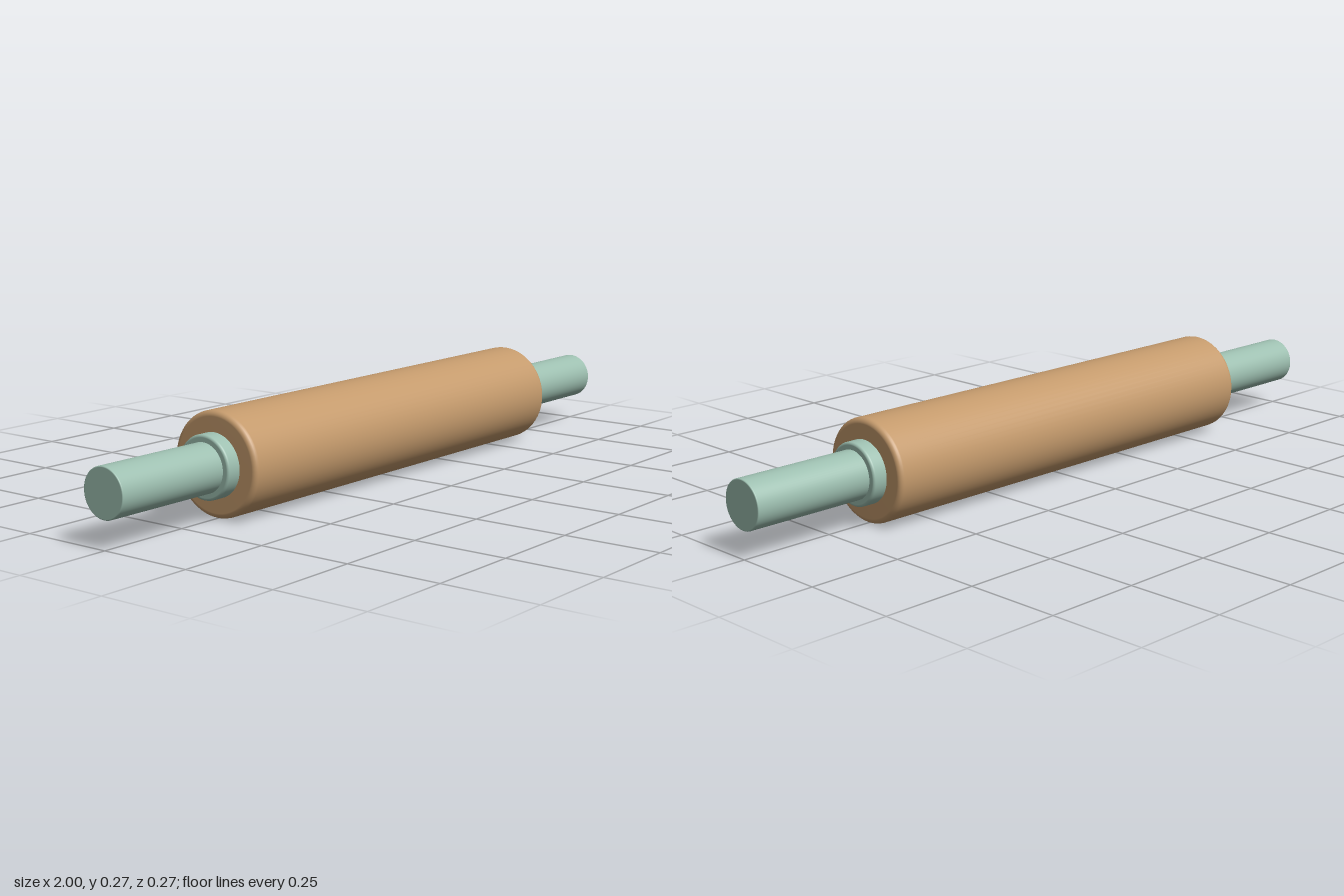
import * as THREE from 'three';

const AXIS_Y = 0.133;

// Closed rod along x from x0 to x1, with rounded rims
function rod(name, radius, x0, x1, bevel, material) {
  const points = [new THREE.Vector2(0, x0)];
  const steps = 6;
  for (const end of [0, 1]) {
    const centre = end ? x1 - bevel : x0 + bevel;
    for (let i = 0; i <= steps; i++) {
      const a = (i / steps + end - 1) * Math.PI / 2;
      points.push(new THREE.Vector2(radius - bevel + bevel * Math.cos(a), centre + bevel * Math.sin(a)));
    }
  }
  points.push(new THREE.Vector2(0, x1));
  const geometry = new THREE.LatheGeometry(points, 64);
  geometry.rotateZ(-Math.PI / 2);
  const mesh = new THREE.Mesh(geometry, material);
  mesh.name = name;
  mesh.position.y = AXIS_Y;
  return mesh;
}

export function createModel() {
  const wood = new THREE.MeshStandardMaterial({ color: 0xc49a6c });
  wood.name = 'wood';
  const sage = new THREE.MeshStandardMaterial({ color: 0x9dbfb0 });
  sage.name = 'sage green';

  const model = new THREE.Group();
  model.name = 'rollingPin';

  // Main roller
  model.add(rod('roller', 0.133, -0.633, 0.633, 0.014, wood));

  // Collar and handle at each end
  for (const [side, s] of [['left', 1], ['right', -1]]) {
    const span = (a, b) => (s > 0 ? [a, b] : [-b, -a]);
    model.add(rod(side + 'Collar', 0.081, ...span(0.61, 0.672), 0.007, sage));
    model.add(rod(side + 'Handle', 0.063, ...span(0.64, 1), 0.003, sage));
  }
  return model;
}
